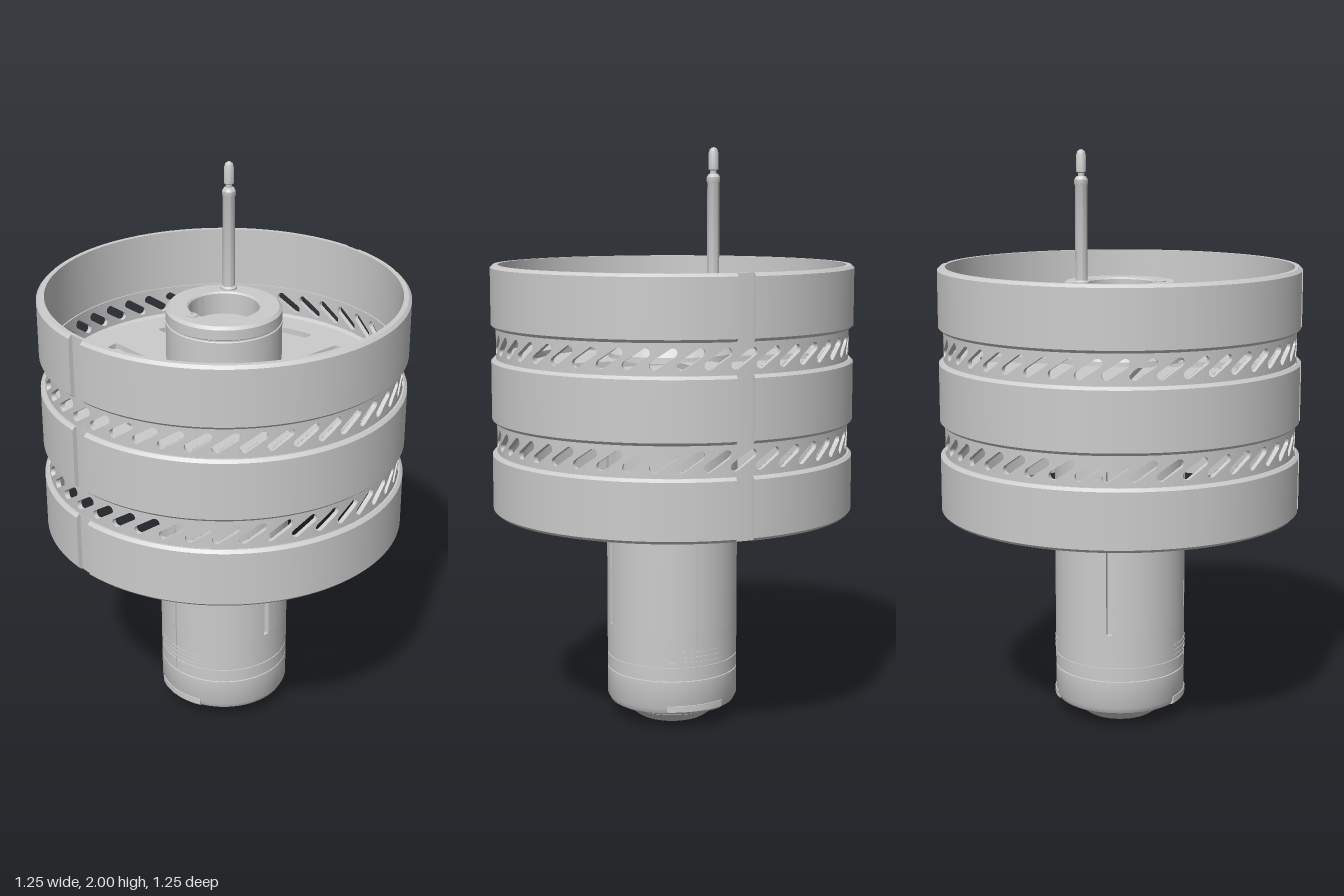
import * as THREE from 'three';
import { toCreasedNormals } from 'three/addons/utils/BufferGeometryUtils.js';

const mat = new THREE.MeshStandardMaterial({ color: 0xcccccc, side: THREE.DoubleSide });
const V = (p) => new THREE.Vector2(p[0], p[1]);

function add(parent, name, geo, x = 0, y = 0, z = 0) {
  const m = new THREE.Mesh(geo, mat);
  m.name = name;
  m.position.set(x, y, z);
  parent.add(m);
  return m;
}

const lathe = (pts, seg = 96) => toCreasedNormals(new THREE.LatheGeometry(pts.map(V), seg), 0.5);

// Wraps a flat geometry round the y axis: x becomes arc length at radius R, z becomes radius.
function bend(geo, R = 1) {
  const p = geo.attributes.position, n = geo.attributes.normal;
  for (let i = 0; i < p.count; i++) {
    const a = p.getX(i) / R, r = p.getZ(i), s = Math.sin(a), c = Math.cos(a);
    const t = n.getX(i), o = n.getZ(i);
    p.setXYZ(i, r * s, p.getY(i), r * c);
    n.setXYZ(i, t * c + o * s, n.getY(i), -t * s + o * c);
  }
  return geo;
}

// Sweeps a closed [radius, height] profile from angle a0 to a1.
function arcSweep(profile, a0, a1) {
  const steps = Math.max(2, Math.ceil((a1 - a0) / 0.06));
  const g = new THREE.ExtrudeGeometry(new THREE.Shape(profile.map(V)), { depth: a1 - a0, steps, bevelEnabled: false });
  return bend(g.rotateY(-Math.PI / 2).translate(a1, 0, 0));
}

const rect = (r0, r1, y0, y1) => [[r0, y0], [r1, y0], [r1, y1], [r0, y1]];

// One slanted cell of the vent ring with a rounded slot through it.
function ventCell(R, thick, height, count) {
  const w = (Math.PI * R) / count, h = height / 2;
  const shape = new THREE.Shape([[-w - h, -h], [-h, -h], [w - h, -h], [w + h, h], [h, h], [-w + h, h]].map(V));
  const dx = 0.03, dy = 0.02, r = 0.015, a = Math.atan2(dy, dx);
  const slot = new THREE.Path();
  slot.absarc(dx, dy, r, a - Math.PI / 2, a + Math.PI / 2, false);
  slot.absarc(-dx, -dy, r, a + Math.PI / 2, a + Math.PI * 1.5, false);
  slot.closePath();
  shape.holes.push(slot);
  const g = new THREE.ExtrudeGeometry(shape, { depth: thick, bevelEnabled: false, curveSegments: 6 });
  return bend(g.translate(0, 0, R - thick), R);
}

// Disc face with four rounded-off quarter windows.
function spokePlate(radius, thick) {
  const shape = new THREE.Shape().absarc(0, 0, radius, 0, Math.PI * 2, false);
  const R = 0.485, x0 = 0.06, z0 = 0.095, k = 0.012;
  const a0 = Math.asin((z0 + k) / R), a1 = Math.acos((x0 + k) / R);
  const quarter = [[x0, z0], [R * Math.cos(a0) - k, z0], [R * Math.cos(a0) - 0.002, z0 + 0.004]];
  for (let i = 0; i <= 20; i++) {
    const a = a0 + ((a1 - a0) * i) / 20;
    quarter.push([R * Math.cos(a), R * Math.sin(a)]);
  }
  quarter.push([x0 + 0.004, R * Math.sin(a1) - 0.002], [x0, R * Math.sin(a1) - k]);
  for (const sx of [1, -1]) for (const sz of [1, -1]) {
    shape.holes.push(new THREE.Path(quarter.map(([x, z]) => new THREE.Vector2(x * sx, z * sz))));
  }
  const g = new THREE.ExtrudeGeometry(shape, { depth: thick, bevelEnabled: false, curveSegments: 96 });
  return toCreasedNormals(g.rotateX(-Math.PI / 2), 0.5);
}

// Round column with straight notches; each notch is [angle, half width, depth].
function notchedColumn(r, y0, y1, notches) {
  const pts = [], N = 96;
  const put = (rad, a) => pts.push(new THREE.Vector2(rad * Math.cos(a), rad * Math.sin(a)));
  for (let i = 0; i < N; i++) {
    const a = (i / N) * Math.PI * 2;
    const n = notches.find((q) => Math.abs(q[0] - a) < 0.01);
    if (!n) { put(r, a); continue; }
    const w = n[1] / r;
    put(r, a - w); put(r - n[2], a - w); put(r - n[2], a + w); put(r, a + w);
  }
  const g = new THREE.ExtrudeGeometry(new THREE.Shape(pts), { depth: y1 - y0, bevelEnabled: false });
  return toCreasedNormals(g.rotateX(-Math.PI / 2).translate(0, y0, 0), 0.5);
}

export function createModel() {
  const model = new THREE.Group();
  model.name = 'ventedDrumOnColumn';

  // Outer bands: two half rings each, separated by recessed joints at front and back
  const drum = new THREE.Group();
  drum.name = 'drum';
  model.add(drum);
  const c = 0.01, ro = 0.627, ri = 0.6;
  for (const [y0, y1] of [[0.75, 0.96], [1.065, 1.285], [1.39, 1.605]]) {
    const profile = [[ri, y0], [ro - c, y0], [ro, y0 + c], [ro, y1 - c], [ro - c, y1], [ri, y1]];
    const half = arcSweep(profile, 0.048, Math.PI - 0.048);
    const joint = arcSweep(rect(ri, 0.612, y0, y1), -0.055, 0.055);
    for (const turn of [0, Math.PI]) {
      add(drum, 'bandHalf', half).rotation.y = turn;
      add(drum, 'bandJoint', joint).rotation.y = turn;
    }
  }

  // Vent rings of slanted slots between the bands
  const count = 44, cell = ventCell(0.611, 0.016, 0.11, count);
  for (const y of [1.0125, 1.3375]) {
    const ring = new THREE.Group();
    ring.name = 'ventRing';
    ring.position.y = y;
    for (let i = 0; i < count; i++) add(ring, 'ventCell', cell).rotation.y = (i / count) * Math.PI * 2;
    drum.add(ring);
  }

  // Drum core with a spoked plate on each side
  add(drum, 'drumCore', new THREE.CylinderGeometry(0.602, 0.602, 0.18, 96), 0, 1.175, 0);
  const plate = spokePlate(0.602, 0.02);
  add(drum, 'upperSpokePlate', plate, 0, 1.265, 0);
  add(drum, 'lowerSpokePlate', plate, 0, 1.065, 0);
  add(drum, 'upperFillet', lathe([[0.6, 1.295], [0.58, 1.285]]));
  add(drum, 'lowerFillet', lathe([[0.58, 1.065], [0.6, 1.055]]));

  // Hub with a well in its top
  add(model, 'hub', lathe([[0.222, 1.28], [0.22, 1.3], [0.197, 1.33], [0.197, 1.495], [0.193, 1.498],
    [0.193, 1.502], [0.197, 1.505], [0.197, 1.54], [0.187, 1.55], [0.125, 1.55], [0.119, 1.544], [0.119, 1.47], [0, 1.47]]));
  add(model, 'hubPin', lathe([[0.018, 1.545], [0.018, 1.554], [0.012, 1.556], [0.006, 1.556], [0.006, 1.55], [0, 1.55]], 20), 0, 0, 0.14);

  // Rod with a rounded tip
  add(model, 'rod', lathe([[0.028, 1.54], [0.028, 1.556], [0.021, 1.562], [0.021, 1.88], [0.023, 1.885], [0.023, 1.9],
    [0.017, 1.91], [0.011, 1.912], [0.011, 1.922], [0.017, 1.926], [0.017, 1.98], [0.013, 1.993], [0.006, 1.999], [0, 2]], 24), -0.105, 0, -0.115);

  // Column: seams at front and back, wider slots at the sides
  const seams = [[Math.PI / 2, 0.003, 0.008], [Math.PI * 1.5, 0.003, 0.008]];
  const slots = [[0, 0.01, 0.02], [Math.PI, 0.01, 0.02]];
  add(model, 'columnUpper', notchedColumn(0.23, 0.345, 1.07, [...seams, ...slots]));
  add(model, 'columnLower', notchedColumn(0.23, 0.23, 0.345, seams));
  add(model, 'columnCollar', notchedColumn(0.23, 0.18, 0.226, seams));
  add(model, 'columnFoot', lathe([[0, 0], [0.118, 0], [0.128, 0.006], [0.174, 0.04], [0.174, 0.052], [0.205, 0.052],
    [0.22, 0.06], [0.23, 0.08], [0.23, 0.176], [0.226, 0.177], [0.226, 0.235]]));

  // Stepped grip ribs and foot clips, front and back
  for (const turn of [0, Math.PI]) {
    for (let i = 0; i < 3; i++) {
      const y = 0.24 + i * 0.018;
      add(model, 'gripRib', arcSweep(rect(0.225, 0.232, y, y + 0.005), -0.42, 0.42)).rotation.y = turn;
    }
    add(model, 'footClip', arcSweep([[0.2, 0.06], [0.226, 0.06], [0.233, 0.068], [0.233, 0.09], [0.2, 0.094]], -0.46, 0.46)).rotation.y = turn;
  }
  return model;
}
